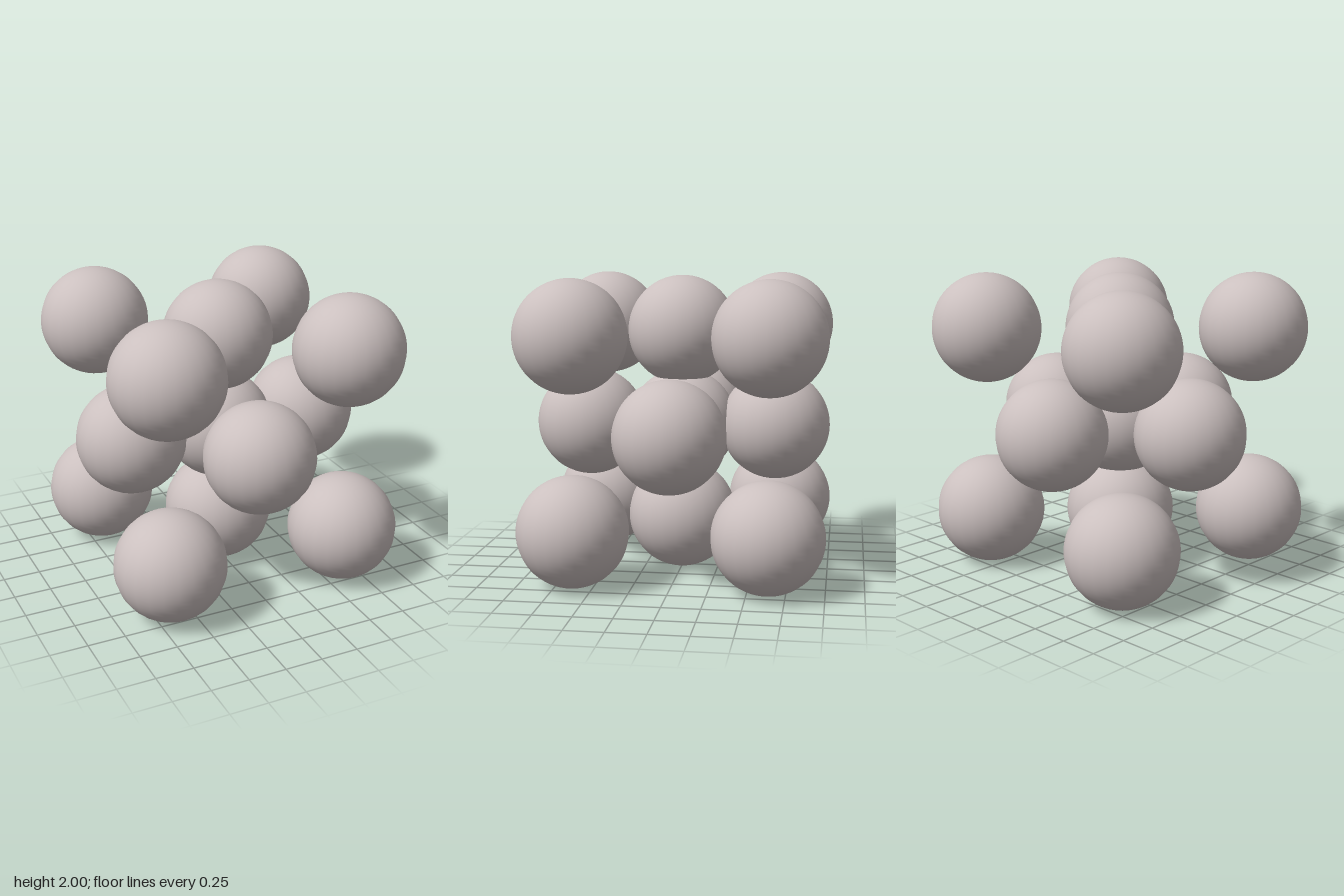
import * as THREE from 'three';

const RADIUS = 0.367;
const STEP = 1 - RADIUS; // distance from the middle of the cube to each outer layer

export function createModel() {
  const model = new THREE.Group();
  model.name = 'sphereLattice';
  const ball = new THREE.SphereGeometry(RADIUS, 24, 32);
  const material = new THREE.MeshStandardMaterial({ color: 0xcbc0bf });
  // Number of outer coordinates tells what a lattice point is; edge midpoints stay empty
  const names = ['centreBall', 'faceBall', null, 'cornerBall'];

  for (const x of [-1, 0, 1]) {
    for (const y of [-1, 0, 1]) {
      for (const z of [-1, 0, 1]) {
        const name = names[Math.abs(x) + Math.abs(y) + Math.abs(z)];
        if (!name) continue;
        const mesh = new THREE.Mesh(ball, material);
        mesh.name = name;
        mesh.position.set(x * STEP, 1 + y * STEP, z * STEP);
        model.add(mesh);
      }
    }
  }
  return model;
}
